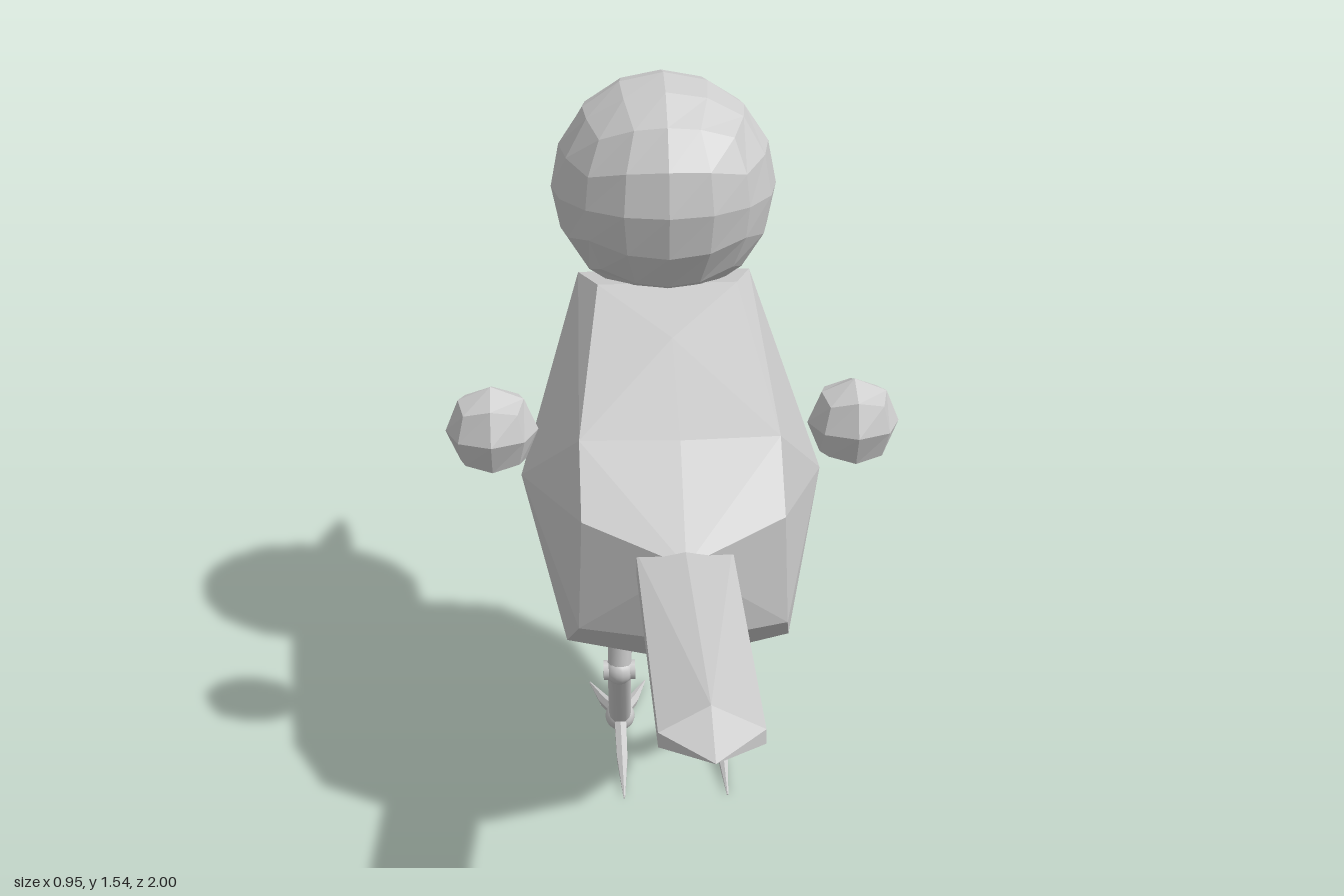
import * as THREE from 'three';
import { ConvexGeometry } from 'three/addons/geometries/ConvexGeometry.js';

const V = (x, y, z) => new THREE.Vector3(x, y, z);
const flat = new THREE.MeshStandardMaterial({ color: 0xcccccc, flatShading: true });
const smooth = new THREE.MeshStandardMaterial({ color: 0xcccccc });

function part(name, geometry, material = flat) {
  const mesh = new THREE.Mesh(geometry, material);
  mesh.name = name;
  return mesh;
}

// Faceted solid; points with x > 0 are mirrored to the other side
function facetedSolid(name, points) {
  const all = [];
  for (const [x, y, z] of points) {
    all.push(V(x, y, z));
    if (x > 0) all.push(V(-x, y, z));
  }
  return part(name, new ConvexGeometry(all));
}

// Cube grid pushed out to a ball, keeping the square facets
function cubeBall(name, radius, segments, center) {
  const geo = new THREE.BoxGeometry(2, 2, 2, segments, segments, segments);
  const pos = geo.attributes.position;
  const p = V(0, 0, 0);
  for (let i = 0; i < pos.count; i++) {
    p.fromBufferAttribute(pos, i);
    p.set(...p.toArray().map((c) => Math.tan(c * Math.PI / 4))).normalize().multiplyScalar(radius);
    pos.setXYZ(i, p.x, p.y, p.z);
  }
  const mesh = part(name, geo);
  mesh.position.copy(center);
  return mesh;
}

// Tapered rod between two points
function rod(name, a, b, ra, rb, sides = 12, material = smooth) {
  const mesh = part(name, new THREE.CylinderGeometry(rb, ra, a.distanceTo(b), sides), material);
  mesh.position.copy(a).lerp(b, 0.5);
  mesh.quaternion.setFromUnitVectors(V(0, 1, 0), b.clone().sub(a).normalize());
  return mesh;
}

function joint(name, radius, center) {
  const mesh = part(name, new THREE.SphereGeometry(radius, 14, 10), smooth);
  mesh.position.copy(center);
  return mesh;
}

function makeLeg(side) {
  const leg = new THREE.Group();
  leg.name = side > 0 ? 'leftLeg' : 'rightLeg';
  const at = (x, y, z) => V(side * x, y, z);
  const hip = at(0.115, 0.44, -0.195);
  const knee = at(0.122, 0.30, -0.18);
  const ankle = at(0.117, 0.053, -0.378);
  leg.add(rod('hipCup', at(0.112, 0.41, -0.192), hip, 0.03, 0.045));
  leg.add(rod('thigh', hip, knee, 0.027, 0.027));
  leg.add(joint('knee', 0.033, knee));
  leg.add(rod('kneePin', at(0.087, 0.30, -0.18), at(0.157, 0.30, -0.18), 0.022, 0.022));
  leg.add(rod('shin', knee, ankle, 0.026, 0.026));
  leg.add(joint('ankle', 0.035, ankle));
  // Three toes forward, one backward, each bent at the middle
  const toes = [[0, -0.275], [0.068, -0.225], [-0.068, -0.225], [0, 0.275]];
  for (const [dx, dz] of toes) {
    const mid = ankle.clone().add(V(dx * 0.5, -0.03, dz * 0.5));
    const tip = ankle.clone().add(V(dx, -0.045, dz));
    leg.add(rod('toe', ankle, mid, 0.016, 0.014, 6, flat));
    leg.add(rod('claw', mid, tip, 0.014, 0.002, 6, flat));
  }
  return leg;
}

function makeEye(side, headCenter, headRadius) {
  const eye = new THREE.Group();
  eye.name = side > 0 ? 'leftEye' : 'rightEye';
  const dir = V(side * 0.09, 0.08, -0.205).normalize();
  const ball = part('eyeball', new THREE.SphereGeometry(0.042, 18, 10), smooth);
  ball.scale.z = 0.22;
  eye.add(ball, part('eyeRim', new THREE.TorusGeometry(0.042, 0.005, 6, 20), smooth));
  eye.quaternion.setFromUnitVectors(V(0, 0, 1), dir);
  eye.position.copy(headCenter).addScaledVector(dir, headRadius * 0.975);
  return eye;
}

export function createModel() {
  const bird = new THREE.Group();
  bird.name = 'bird';

  bird.add(facetedSolid('body', [
    // rump
    [0, 0.79, 0.25], [0.2, 0.85, 0.17], [0.21, 0.61, 0.165], [0, 0.61, 0.23],
    // back and neck
    [0, 0.97, 0.06], [0.2, 0.97, 0.05], [0, 1.075, -0.22],
    [0.15, 1.125, -0.41], [0.19, 1.1, -0.56], [0, 1.085, -0.59],
    // flanks
    [0.325, 0.74, -0.28],
    // chest
    [0.21, 0.88, -0.62], [0, 0.87, -0.65], [0.21, 0.62, -0.55], [0, 0.59, -0.58],
    // belly
    [0.2, 0.44, -0.31], [0, 0.37, -0.32], [0.235, 0.475, -0.02], [0, 0.43, 0],
  ]));

  // Head and eyes
  const headCenter = V(0, 1.3, -0.555);
  const headRadius = 0.245;
  bird.add(cubeBall('head', headRadius, 4, headCenter));

  // Beak halves meeting at the mouth line
  bird.add(facetedSolid('upperBeak', [
    [0, 1.28, -0.74], [0.035, 1.26, -0.74], [0.033, 1.225, -0.74],
    [0, 1.285, -0.91], [0.036, 1.255, -0.88], [0.033, 1.232, -0.88],
    [0.015, 1.24, -0.97], [0, 1.24, -1],
  ]));
  bird.add(facetedSolid('lowerBeak', [
    [0.033, 1.225, -0.74], [0, 1.185, -0.74], [0.025, 1.195, -0.76],
    [0.033, 1.23, -0.88], [0, 1.2, -0.9], [0, 1.235, -0.985],
  ]));

  // Tail
  bird.add(facetedSolid('tail', [
    [0, 0.805, 0.18], [0.095, 0.79, 0.18], [0.095, 0.745, 0.18], [0, 0.728, 0.18],
    [0, 0.88, 0.89], [0.088, 0.85, 0.92], [0.088, 0.822, 0.92],
    [0, 0.82, 0.97], [0, 0.84, 1],
  ]));

  for (const side of [1, -1]) {
    bird.add(makeEye(side, headCenter, headRadius));
    bird.add(cubeBall(side > 0 ? 'leftWingBall' : 'rightWingBall', 0.097, 2, V(side * 0.38, 0.89, -0.19)));
    bird.add(makeLeg(side));
  }
  return bird;
}
